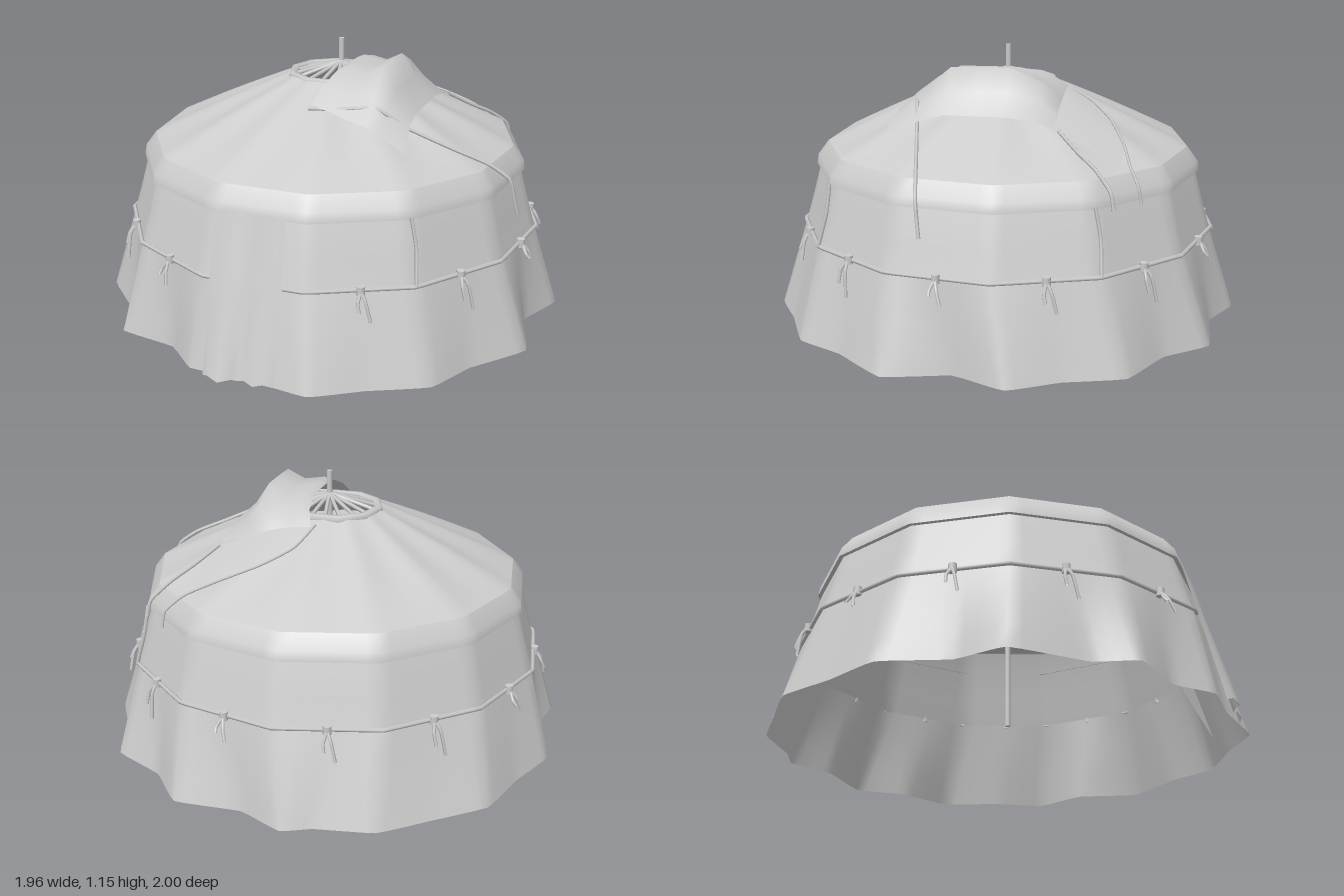
import * as THREE from 'three';

const SIDES = 13, N = SIDES * 8, STEP = 2 * Math.PI / SIDES;
const canvas = new THREE.MeshStandardMaterial({ color: 0xcccccc, side: THREE.DoubleSide });
canvas.name = 'canvas grey';
const V = (x, y, z) => new THREE.Vector3(x, y, z);

// Smooth surface through rows of points, optionally closed around
function loft(name, rows, closed = false) {
  const w = rows[0].length, pos = [], idx = [];
  rows.forEach(r => r.forEach(p => pos.push(p.x, p.y, p.z)));
  for (let i = 0; i < rows.length - 1; i++)
    for (let j = 0; j < (closed ? w : w - 1); j++) {
      const k = (j + 1) % w, a = i * w + j, b = i * w + k, c = b + w, d = a + w;
      idx.push(a, b, c, a, c, d);
    }
  const g = new THREE.BufferGeometry();
  g.setAttribute('position', new THREE.Float32BufferAttribute(pos, 3));
  g.setIndex(idx);
  g.computeVertexNormals();
  return part(name, g);
}

function part(name, geometry) {
  const m = new THREE.Mesh(geometry, canvas);
  m.name = name;
  return m;
}

// Rope through points
function rope(name, pts, r = 0.008, tension = 0.3) {
  const curve = new THREE.CatmullRomCurve3(pts, false, 'catmullrom', tension);
  return part(name, new THREE.TubeGeometry(curve, pts.length * 5, r, 5));
}

// Straight round bar between two points
function bar(name, a, b, r, sides = 8) {
  const d = b.clone().sub(a);
  const m = part(name, new THREE.CylinderGeometry(r, r, d.length(), sides));
  m.position.copy(a).add(b).multiplyScalar(0.5);
  m.quaternion.setFromUnitVectors(V(0, 1, 0), d.normalize());
  return m;
}

// Ratio of the 13-sided outline to its corner radius; u counts panels from the front
const outline = u => Math.cos(STEP / 2) / Math.cos((u - Math.floor(u + 0.5)) * STEP);
function polyPoint(R, y, u) {
  const r = R * outline(u), a = u * STEP;
  return V(r * Math.sin(a), y, r * Math.cos(a));
}
const polyRing = (R, y) => Array.from({ length: N }, (_, k) => polyPoint(R, y, k / 8));

// Flared, scalloped hem on the ground: panel middles and corners by turns (x, z)
const hem = [
  [-0.03, 0.93], [0.26, 0.97], [0.45, 0.85], [0.68, 0.73], [0.78, 0.53], [0.955, 0.31], [0.89, 0.04],
  [0.98, -0.18], [0.87, -0.38], [0.79, -0.62], [0.56, -0.74], [0.41, -0.915], [0.13, -0.91], [-0.06, -1],
  [-0.18, -0.95], [-0.42, -0.91], [-0.6, -0.77], [-0.8, -0.61], [-0.88, -0.37], [-0.98, -0.14],
  [-0.9, 0.13], [-0.94, 0.345], [-0.71, 0.58], [-0.66, 0.75], [-0.4, 0.8], [-0.25, 0.93]];

// Roof height above a point on the plan
function roofY(x, z) {
  const r = Math.hypot(x, z) / outline(Math.atan2(x, z) / STEP);
  return 0.73 + 0.27 * THREE.MathUtils.clamp((0.78 - r) / 0.59, 0, 1);
}
const onRoof = (x, z, lift = 0.012) => V(x, roofY(x, z) + lift, z);

function createWalls() {
  const g = new THREE.Group();
  g.name = 'walls';
  const curve = new THREE.CatmullRomCurve3(hem.map(([x, z]) => V(x, 0, z)), true, 'catmullrom', 0.15);
  const bottom = Array.from({ length: N }, (_, k) => curve.getPoint(k / N));
  const belt = polyRing(0.885, 0.38);
  const skirt = [0, 0.25, 0.5, 0.75, 1].map(t =>
    bottom.map((p, k) => p.clone().lerp(belt[k], t)));
  g.add(loft('lowerWall', skirt, true));
  g.add(loft('upperWall', [belt, polyRing(0.85, 0.5), polyRing(0.815, 0.63), polyRing(0.78, 0.725)], true));
  g.add(loft('eaveLip', [polyRing(0.812, 0.63), polyRing(0.832, 0.63)], true));
  g.add(loft('eaveBand', [polyRing(0.832, 0.63), polyRing(0.825, 0.67), polyRing(0.78, 0.73)], true));
  return g;
}

function createRoof() {
  const g = new THREE.Group();
  g.name = 'roof';
  // Cloth sags a little between the rafters
  const rows = [0, 0.15, 0.35, 0.55, 0.75, 1].map(t =>
    polyRing(THREE.MathUtils.lerp(0.78, 0.19, t), 0).map((p, k) => {
      p.y = roofY(p.x, p.z) - 0.006 * Math.sin(Math.PI * t) * Math.cos(2 * Math.PI * k / 8);
      return p;
    }));
  g.add(loft('roofCloth', rows, true));
  // Flat ceiling closing the room at the eave
  g.add(loft('ceiling', [polyRing(0.001, 0.728), polyRing(0.778, 0.728)], true));

  // Smoke hole with its wooden ring and spokes
  const ring = part('smokeRing', new THREE.TorusGeometry(0.185, 0.022, 6, 10));
  ring.rotation.x = Math.PI / 2;
  ring.position.set(0, 0.99, -0.01);
  g.add(ring);
  const hub = V(0.03, 1.05, -0.01);
  for (let i = 0; i < 16; i++) {
    const a = i * Math.PI / 8;
    g.add(bar('spoke', hub, V(0.175 * Math.sin(a), 0.99, 0.175 * Math.cos(a) - 0.01), 0.009, 5));
  }
  g.add(bar('centrePole', V(0.03, 0.08, -0.01), V(0.03, 1.15, -0.01), 0.012));
  return g;
}

function createSmokeFlap() {
  const g = new THREE.Group();
  g.name = 'smokeFlap';
  // Cloth folded over half of the smoke hole, its front corner drawn outwards
  const xs = [0.03, 0.11, 0.2, 0.28, 0.34, 0.43], peaks = [1.055, 1.065, 1.05, 1.09, 1.0, 0.915];
  const zs = [-0.27, -0.2, -0.07, 0.05, 0.18, 0.28, 0.36], rise = [0.1, 0.6, 1, 1, 0.97, 0.5, 0.15];
  g.add(loft('flapCloth', xs.map((x0, i) => zs.map((z0, j) => {
    const x = x0 + (i === 0 ? 0.05 * rise[j] : 0) + (i === 5 && j === 6 ? 0.04 : 0);
    const z = z0 + (j === 6 ? 0.014 * i : 0);
    const base = roofY(x, z) + 0.012;
    return V(x, base + Math.max(0, peaks[i] - base) * rise[j], z);
  }))));
  // Rear part of the cloth lying flat on the roof
  const near = [[0.02, -0.26], [0.15, -0.265], [0.29, -0.27], [0.43, -0.27]];
  const far = [[0.07, -0.38], [0.18, -0.47], [0.34, -0.54], [0.5, -0.55]];
  g.add(loft('flapTail', [0, 0.33, 0.67, 1].map(t => near.map(([x, z], i) =>
    onRoof(x + (far[i][0] - x) * t, z + (far[i][1] - z) * t, 0.015)))));
  // Tie ropes running down the roof
  g.add(rope('frontFlapRope', [V(0.03, 0.94, 0.365), V(0.15, 0.945, 0.35), V(0.3, 0.955, 0.32),
    onRoof(0.42, 0.29, 0.035), onRoof(0.6, 0.245), onRoof(0.74, 0.21), V(0.825, 0.68, 0.19),
    V(0.845, 0.6, 0.18), V(0.86, 0.53, 0.17)]));
  g.add(rope('sideFlapRope', [onRoof(0.43, -0.29, 0.022), onRoof(0.51, -0.38), onRoof(0.58, -0.46),
    V(0.645, 0.69, -0.525), V(0.66, 0.62, -0.54)]));
  g.add(rope('backFlapRope', [V(0.02, 0.985, -0.25), onRoof(0.07, -0.38, 0.02), onRoof(0.18, -0.47, 0.02),
    onRoof(0.34, -0.54, 0.02), onRoof(0.47, -0.58, 0.015), V(0.54, 0.69, -0.62), V(0.55, 0.62, -0.635)], 0.006));
  return g;
}

function createDoor() {
  const g = new THREE.Group();
  g.name = 'door';
  // Hanging curtain with shallow folds
  const xs = [-0.18, -0.15, -0.1, -0.05, -0.03, 0.0, 0.04, 0.08, 0.12];
  const zs = [0.96, 0.98, 0.995, 0.975, 0.955, 0.965, 0.975, 0.97, 0.955];
  const rows = [0, 0.15, 0.38, 0.64].map(y => xs.map((x, j) =>
    V(x, y === 0 ? 0.012 * (j % 2) : y, THREE.MathUtils.lerp(zs[j], 0.812, y / 0.64))));
  g.add(loft('doorCurtain', rows));
  // Plain board standing behind the curtain, inside
  g.add(loft('doorBoard', [[V(-0.3, 0, 0.82), V(0.265, 0, 0.82)], [V(-0.3, 0.63, 0.64), V(0.265, 0.63, 0.64)]]));
  return g;
}

function createBelt() {
  const g = new THREE.Group();
  g.name = 'belt';
  // Rope round the walls, from one side of the curtain to the other
  const pts = [polyPoint(0.893, 0.38, 0.3)];
  for (let u = 0.5; u < SIDES; u += 0.5) pts.push(polyPoint(0.893, 0.38, u));
  pts.push(polyPoint(0.893, 0.38, SIDES - 0.4));
  g.add(rope('beltRope', pts, 0.009, 0.02));

  // Knots with two loose ends in the middle of each panel
  for (let u = 1; u < SIDES; u++) {
    const tie = new THREE.Group();
    tie.name = 'tie';
    const p = polyPoint(0.9, 0.38, u), len = 0.09 + 0.025 * (u % 3);
    tie.position.copy(p);
    tie.rotation.y = Math.atan2(p.x, p.z);
    tie.add(part('knot', new THREE.CylinderGeometry(0.017, 0.017, 0.035, 8)));
    for (const s of [-1, 1])
      tie.add(rope('looseEnd', [V(0, 0, 0.005), V(s * 0.015, -0.04, 0.03),
        V(s * 0.022 + 0.01, -len * (s > 0 ? 1 : 0.65), 0.045)], 0.007));
    g.add(tie);
  }

  // Upright ropes from the eave down to the belt
  for (const u of [1.5, 4.5])
    g.add(rope('uprightRope', [polyPoint(0.835, 0.64, u), polyPoint(0.862, 0.52, u + 0.03), polyPoint(0.895, 0.38, u)]));
  return g;
}

export function createModel() {
  const model = new THREE.Group();
  model.name = 'roundTent';
  model.add(createWalls(), createRoof(), createSmokeFlap(), createDoor(), createBelt());
  return model;
}
